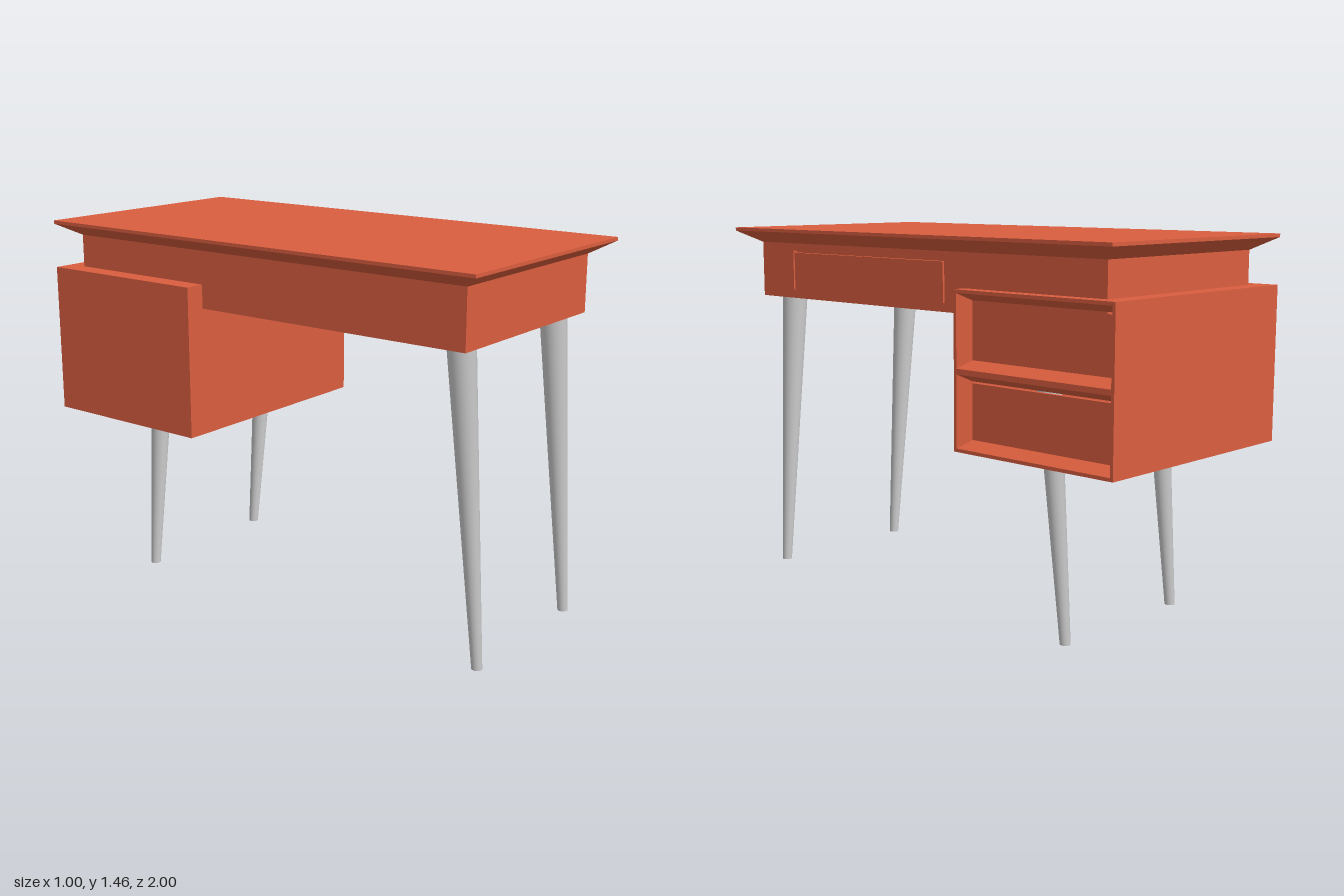
import * as THREE from 'three';

const paint = new THREE.MeshStandardMaterial({ color: 0xdb5e3f, side: THREE.DoubleSide });
const grey = new THREE.MeshStandardMaterial({ color: 0xcccccc });

// Box given by its minimum and maximum corners
function board(parent, name, [x0, y0, z0], [x1, y1, z1]) {
  const mesh = new THREE.Mesh(new THREE.BoxGeometry(x1 - x0, y1 - y0, z1 - z0), paint);
  mesh.position.set((x0 + x1) / 2, (y0 + y1) / 2, (z0 + z1) / 2);
  mesh.name = name;
  parent.add(mesh);
  return mesh;
}

// Flat-faced skin through four-cornered rings, optionally closed at both ends
function loft(rings, capped) {
  const pos = [];
  const quad = (a, b, c, d) => pos.push(...a, ...b, ...c, ...a, ...c, ...d);
  for (let r = 0; r < rings.length - 1; r++) {
    for (let i = 0; i < 4; i++) {
      const j = (i + 1) % 4;
      quad(rings[r][i], rings[r][j], rings[r + 1][j], rings[r + 1][i]);
    }
  }
  if (capped) {
    const [a, b, c, d] = rings[0];
    quad(d, c, b, a);
    quad(...rings[rings.length - 1]);
  }
  const geo = new THREE.BufferGeometry();
  geo.setAttribute('position', new THREE.Float32BufferAttribute(pos, 3));
  geo.computeVertexNormals();
  return geo;
}

// Upright panel drawn in (z, y), its outer face at x
function sidePanel(parent, name, outline, holes, x, depth) {
  const make = (pts) => pts.map(([z, y]) => new THREE.Vector2(-z, y));
  const shape = new THREE.Shape(make(outline));
  holes.forEach((h) => shape.holes.push(new THREE.Path(make(h))));
  const geo = new THREE.ExtrudeGeometry(shape, { depth, bevelEnabled: false });
  geo.rotateY(Math.PI / 2);
  const mesh = new THREE.Mesh(geo, paint);
  mesh.position.x = x - depth;
  mesh.name = name;
  parent.add(mesh);
}

const rect = (z0, z1, y0, y1) => [[z0, y0], [z1, y0], [z1, y1], [z0, y1]];

export function createModel() {
  const desk = new THREE.Group();
  desk.name = 'desk';

  // Table top with a chamfered underside
  const ring = (x, z, y) => [[-x, y, z], [x, y, z], [x, y, -z], [-x, y, -z]];
  const top = new THREE.Mesh(
    loft([ring(0.42, 0.92, 1.4), ring(0.5, 1, 1.447), ring(0.5, 1, 1.46)], true), paint);
  top.name = 'tableTop';
  desk.add(top);

  // Apron, open underneath, with a wide drawer outlined by a groove
  const apron = new THREE.Group();
  apron.name = 'apron';
  const t = 0.02;
  const groove = [
    [0.72, 1.21], [0.72, 1.37], [-0.16, 1.37], [-0.16, 1.21],
    [-0.152, 1.21], [-0.152, 1.362], [0.712, 1.362], [0.712, 1.21],
  ];
  groove.splice(4, 2, [-0.152, 1.21], [-0.152, 1.362]);
  // Groove is kept inside the right edge line
  for (const p of groove.slice(4, 6)) p[0] = -0.152;
  sidePanel(apron, 'apronDrawerSide', rect(-0.92, 0.92, 1.177, 1.4), [groove], 0.42, t);
  board(apron, 'apronDrawerBacking', [0.39, 1.177, -0.9], [0.4, 1.4, 0.9]);
  board(apron, 'apronPlainSide', [-0.42, 1.177, -0.92], [-0.42 + t, 1.4, 0.92]);
  for (const s of [-1, 1]) {
    const z = s * (0.92 - t / 2);
    board(apron, 'apronEnd', [-0.4, 1.177, z - t / 2], [0.4, 1.4, z + t / 2]);
  }
  desk.add(apron);

  // Hollow drawer cabinet
  const cabinet = new THREE.Group();
  cabinet.name = 'drawerCabinet';
  const [x0, x1, y0, y1, z0, z1] = [-0.5, 0.475, 0.677, 1.27, -0.997, -0.262];
  const w = 0.013;
  board(cabinet, 'cabinetBottom', [x0, y0, z0], [x1 - 0.01, y0 + w, z1]);
  board(cabinet, 'cabinetTop', [x0, y1 - w, z0], [x1 - 0.01, y1, z1]);
  board(cabinet, 'cabinetBack', [x0, y0 + w, z0], [x0 + w, y1 - w, z1]);
  board(cabinet, 'cabinetOuterSide', [x0 + w, y0 + w, z0], [x1 - 0.01, y1 - w, z0 + w]);
  board(cabinet, 'cabinetInnerSide', [x0 + w, y0 + w, z1 - w], [x1 - 0.01, y1 - w, z1]);

  // Front frame with two openings, each sloping in to a recessed drawer front
  const openings = [[0.69, 0.963], [0.984, 1.257]];
  const [oz0, oz1] = [z0 + w, z1 - w];
  sidePanel(cabinet, 'cabinetFrame', rect(z0, z1, y0, y1),
    openings.map(([a, b]) => rect(oz0, oz1, a, b)), x1, 0.01);
  for (const [a, b] of openings) {
    const corners = (x, inset) => rect(oz0 + inset, oz1 - inset, a + inset, b - inset)
      .map(([z, y]) => [x, y, z]);
    const reveal = new THREE.Mesh(loft([corners(x1, 0), corners(x1 - 0.055, 0.028)], false), paint);
    reveal.name = 'drawerReveal';
    cabinet.add(reveal);
    // Narrow finger gap is left above the drawer front
    board(cabinet, 'drawerFront', [x1 - 0.07, a + 0.022, oz0 + 0.022], [x1 - 0.055, b - 0.035, oz1 - 0.022]);
  }
  desk.add(cabinet);

  // Tapered legs, leaning outward toward their feet along the length
  const height = 1.25;
  for (const [foot, lean] of [[0.945, -0.11], [-0.67, 0.115]]) {
    for (const x of [-0.32, 0.32]) {
      const geo = new THREE.CylinderGeometry(0.054, 0.02, height, 32);
      geo.translate(0, height / 2, 0);
      // Shear so that both ends stay level
      const p = geo.attributes.position;
      for (let i = 0; i < p.count; i++) p.setZ(i, p.getZ(i) + (lean * p.getY(i)) / height);
      const leg = new THREE.Mesh(geo, grey);
      leg.name = foot > 0 ? 'frontLeg' : 'rearLeg';
      leg.position.set(x, 0, foot);
      desk.add(leg);
    }
  }
  return desk;
}
